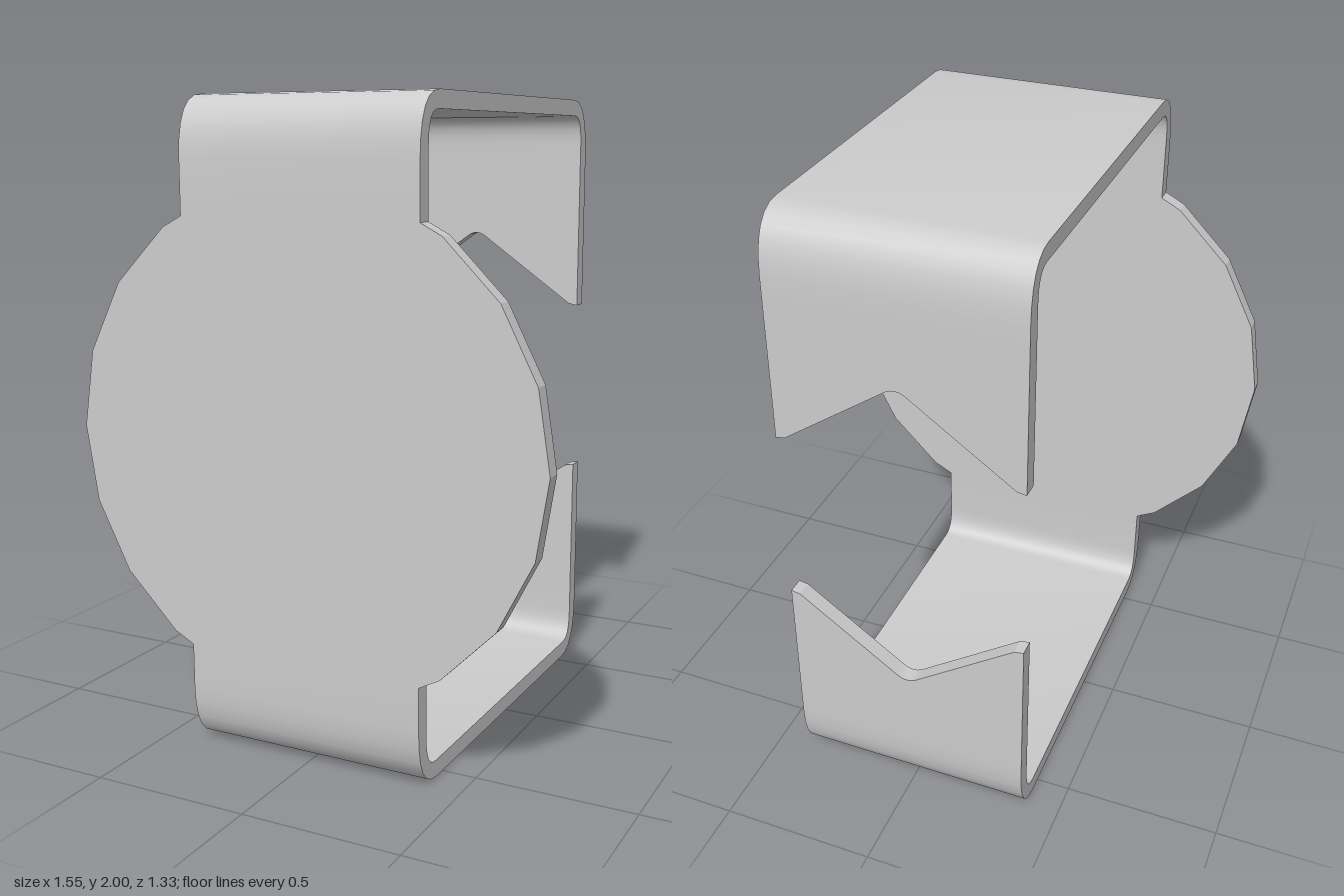
import * as THREE from 'three';
import { toCreasedNormals } from 'three/addons/utils/BufferGeometryUtils.js';

const W = 0.39;              // half width of the strip
const Z = 0.665, T = 0.053;  // outer depth and sheet thickness
const R = 0.775, CY = 0.985; // disc radius and centre height
const material = new THREE.MeshStandardMaterial({ color: 0xcccccc });

function extrude(shape, depth, name, parent) {
  const geo = new THREE.ExtrudeGeometry(shape, { depth, bevelEnabled: false, curveSegments: 6 });
  const mesh = new THREE.Mesh(geo, material);
  mesh.name = name;
  parent.add(mesh);
  return mesh;
}

// Bent strip in the (z, y) plane: front wall, rounded corner, top, rounded corner, back wall
function bandShape(frontY, backY, h) {
  const s = new THREE.Shape();
  const zi = Z - T, yi = 2 - T;
  s.moveTo(Z, h(frontY));
  s.lineTo(Z, h(1.81));
  s.quadraticCurveTo(Z, h(2), 0.54, h(2));
  s.lineTo(-0.54, h(2));
  s.quadraticCurveTo(-Z, h(2), -Z, h(1.81));
  s.lineTo(-Z, h(backY));
  s.lineTo(-zi, h(backY));
  s.lineTo(-zi, h(1.85));
  s.quadraticCurveTo(-zi, h(yi), -0.55, h(yi));
  s.lineTo(0.55, h(yi));
  s.quadraticCurveTo(zi, h(yi), zi, h(1.85));
  s.lineTo(zi, h(frontY));
  s.closePath();
  return s;
}

// Back flange with a V notch rounded at its apex
function flangeShape(topY, h) {
  const s = new THREE.Shape();
  s.moveTo(-W, h(topY));
  s.lineTo(-W, h(1.29));
  s.lineTo(-W + 0.03, h(1.295));
  s.lineTo(-0.04, h(1.52));
  s.quadraticCurveTo(0, h(1.553), 0.04, h(1.52));
  s.lineTo(W - 0.03, h(1.295));
  s.lineTo(W, h(1.29));
  s.lineTo(W, h(topY));
  s.closePath();
  return s;
}

// Twenty-sided disc cut level where the strip meets it
function discShape() {
  const pts = [];
  const cut = 0.661;
  for (const side of [1, -1]) {
    pts.push(new THREE.Vector2(side * W, CY - side * cut));
    for (let i = -3; i <= 3; i++) {
      const a = (i * Math.PI) / 10;
      pts.push(new THREE.Vector2(side * R * Math.cos(a), CY + side * R * Math.sin(a)));
    }
    pts.push(new THREE.Vector2(side * W, CY + side * cut));
  }
  return new THREE.Shape(pts);
}

export function createModel() {
  const model = new THREE.Group();
  model.name = 'clipBracket';

  // Front disc
  extrude(discShape(), T, 'frontDisc', model).position.z = Z - T;

  // Upper and lower halves of the bent strip
  const halves = [
    { name: 'upper', h: (y) => y, frontY: 1.646 },
    { name: 'lower', h: (y) => 2 - y, frontY: 1.676 },
  ];
  for (const { name, h, frontY } of halves) {
    const arm = new THREE.Group();
    arm.name = name + 'Arm';
    model.add(arm);

    const band = extrude(bandShape(frontY, 1.75, h), 2 * W, name + 'Band', arm);
    band.geometry.rotateY(-Math.PI / 2).translate(W, 0, 0);
    band.geometry = toCreasedNormals(band.geometry, 0.6);

    const flange = extrude(flangeShape(1.75, h), T, name + 'Flange', arm);
    flange.geometry = toCreasedNormals(flange.geometry, 0.4);
    flange.position.z = -Z;
  }
  return model;
}
